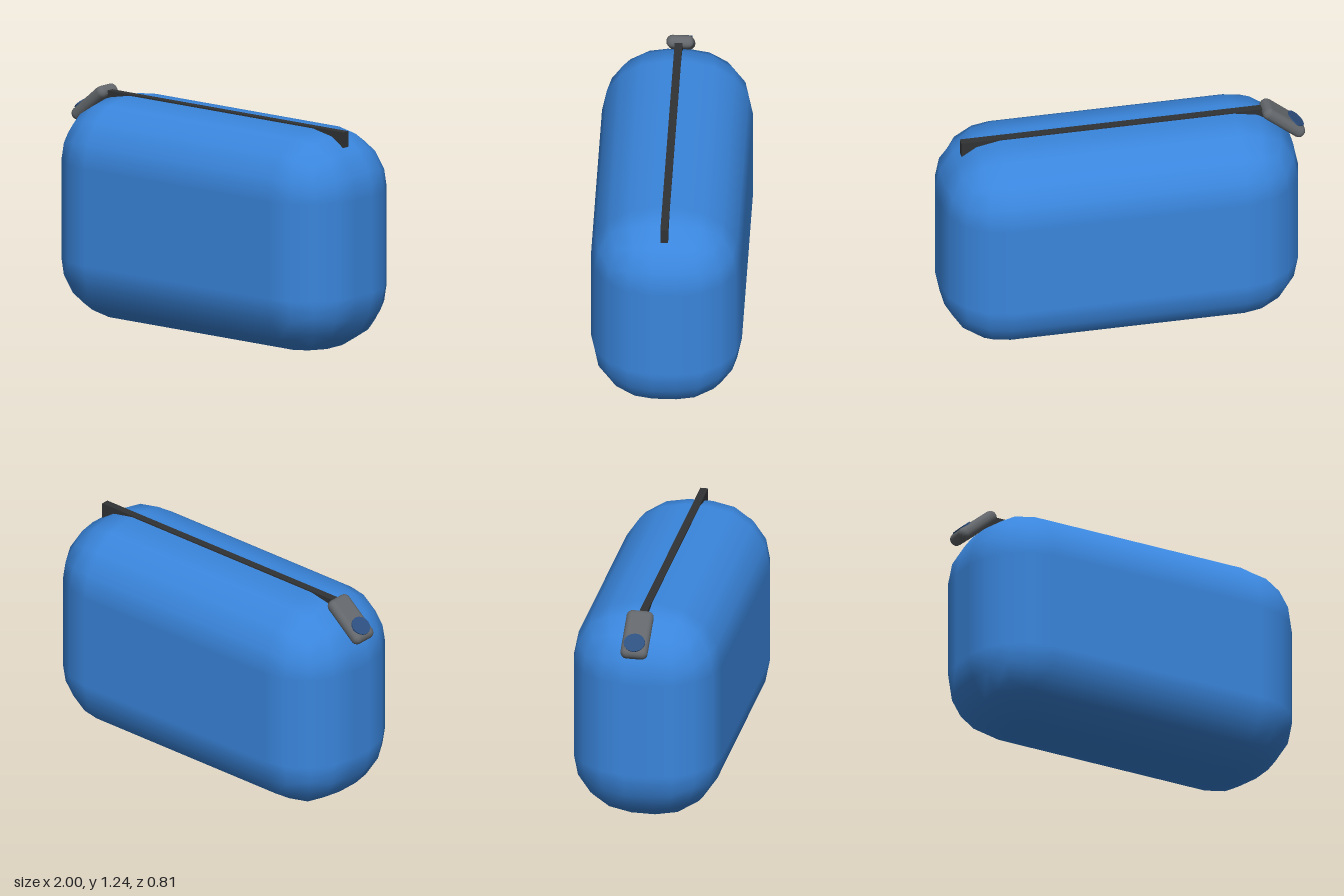
import * as THREE from 'three';
import { mergeVertices } from 'three/addons/utils/BufferGeometryUtils.js';

// Box whose edges are rounded in equal angular steps: 2 * n facets per quarter turn.
function roundedBox(w, h, d, r, n) {
  const seg = 2 * n + 1;
  let geo = new THREE.BoxGeometry(2, 2, 2, seg, seg, seg);
  geo.deleteAttribute('uv');
  geo.deleteAttribute('normal');
  geo = mergeVertices(geo, 1e-4);
  const pos = geo.attributes.position;
  const normals = [];
  const v = new THREE.Vector3();
  const flat = 1 / seg;
  const bend = (c) => Math.sign(c) * Math.tan(Math.max(0, (Math.abs(c) - flat) / (1 - flat)) * Math.PI / 4);
  for (let i = 0; i < pos.count; i++) {
    v.fromBufferAttribute(pos, i);
    const sx = Math.sign(v.x), sy = Math.sign(v.y), sz = Math.sign(v.z);
    v.set(bend(v.x), bend(v.y), bend(v.z)).normalize();
    normals.push(v.x, v.y, v.z);
    pos.setXYZ(i, v.x * r + sx * (w / 2 - r), v.y * r + sy * (h / 2 - r), v.z * r + sz * (d / 2 - r));
  }
  geo.setAttribute('normal', new THREE.Float32BufferAttribute(normals, 3));
  return geo;
}

function part(name, geometry, color, x = 0, y = 0, z = 0) {
  const mesh = new THREE.Mesh(geometry, new THREE.MeshStandardMaterial({ color }));
  mesh.name = name;
  mesh.position.set(x, y, z);
  return mesh;
}

export function createModel() {
  const model = new THREE.Group();
  model.name = 'zipPouch';

  // Soft pouch body
  model.add(part('body', roundedBox(1.956, 1.21, 0.81, 0.34, 2), 0x3a86dd, 0.022, 0.605, 0));

  // Zip strip along the top
  model.add(part('zipStrip', new THREE.BoxGeometry(1.7, 0.085, 0.042), 0x303234, 0.022, 1.175, 0.002));

  // Zip pull, tilted over the rounded end, with an inset disc
  const zipPull = new THREE.Group();
  zipPull.name = 'zipPull';
  zipPull.position.set(-0.883, 1.136, -0.005);
  zipPull.rotation.z = THREE.MathUtils.degToRad(40);
  zipPull.add(part('pullTab', roundedBox(0.28, 0.07, 0.148, 0.033, 2), 0x63676b));
  const disc = part('pullDisc', new THREE.CylinderGeometry(0.058, 0.058, 0.02, 16), 0x2e5080, -0.065, 0.03, 0);
  disc.scale.x = 0.92;
  zipPull.add(disc);
  model.add(zipPull);

  return model;
}
